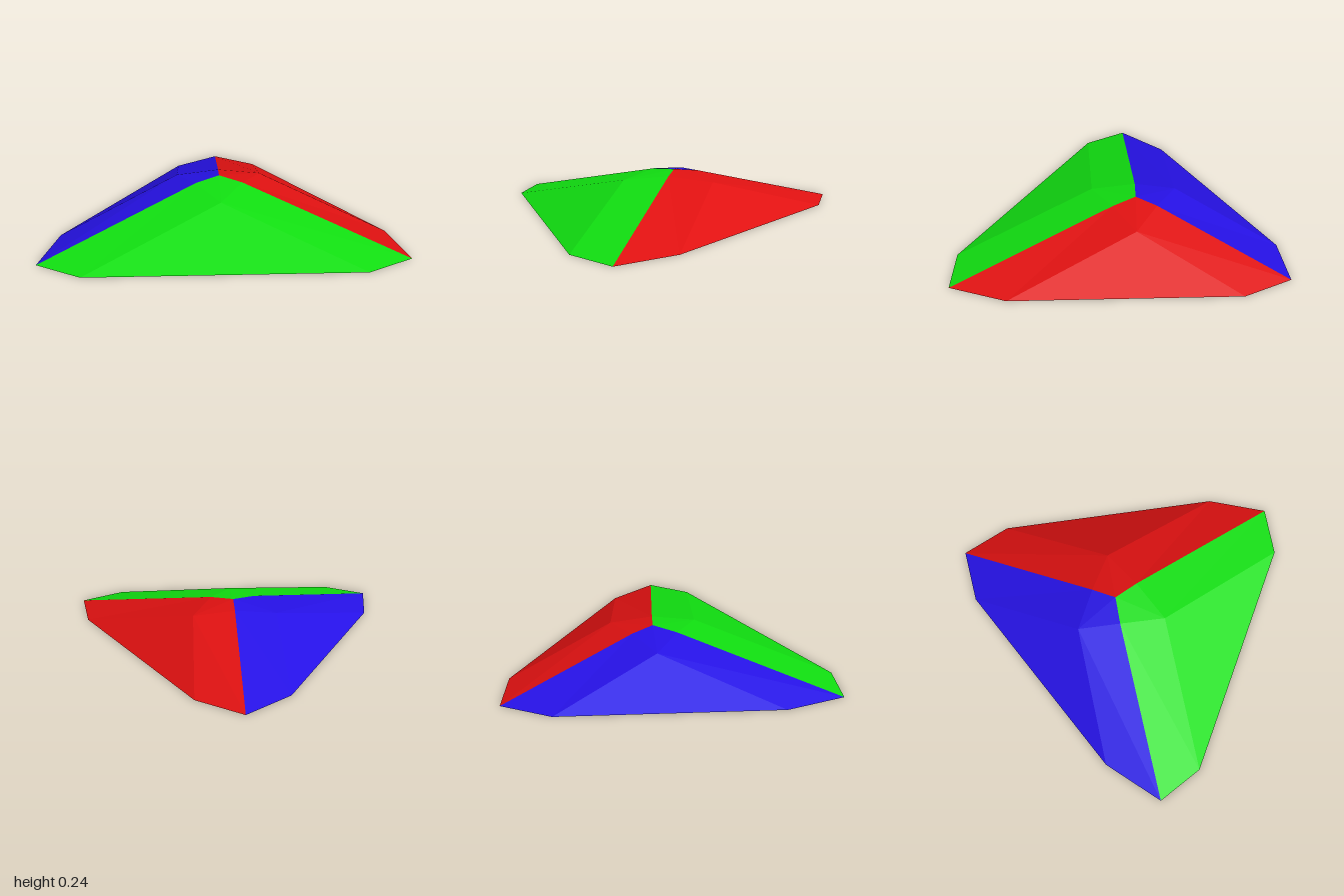
import * as THREE from 'three';

// Builds an upward-facing faceted surface from quads and triangles
function facetGeometry(faces) {
  const pos = [];
  for (const f of faces)
    for (let i = 1; i < f.length - 1; i++) pos.push(...f[0], ...f[i], ...f[i + 1]);
  const g = new THREE.BufferGeometry();
  g.setAttribute('position', new THREE.Float32BufferAttribute(pos, 3));
  g.computeVertexNormals();
  return g;
}

export function createModel() {
  const model = new THREE.Group();
  model.name = 'facetedShell';

  // Ridges run from the shared peak over a shoulder down to a corner tip
  const peak = [-0.01, 0.24, 0.11];
  const right = { shoulder: [-0.15, 0.225, 0.195], tip: [-1, 0, 0.78] };
  const left = { shoulder: [0.125, 0.225, 0.195], tip: [1, 0, 0.78] };
  const back = { shoulder: [-0.01, 0.222, -0.04], tip: [0, 0, -0.93] };

  // Each panel spans two ridges, with a raised inner point and two rim corners
  const panels = [
    { name: 'frontPanel', colour: 'green', hex: 0x11e011, a: right, b: left,
      inner: [-0.01, 0.195, 0.43], rimA: [-0.75, 0, 0.93], rimB: [0.74, 0, 0.93] },
    { name: 'leftPanel', colour: 'red', hex: 0xe01111, a: left, b: back,
      inner: [0.245, 0.195, -0.04], rimA: [0.935, 0, 0.42], rimB: [0.26, 0, -0.75] },
    { name: 'rightPanel', colour: 'blue', hex: 0x2611e6, a: back, b: right,
      inner: [-0.265, 0.195, -0.03], rimA: [-0.265, 0, -0.735], rimB: [-0.925, 0, 0.41] },
  ];

  for (const { name, colour, hex, a, b, inner, rimA, rimB } of panels) {
    const material = new THREE.MeshStandardMaterial({ color: hex, side: THREE.DoubleSide });
    material.name = colour;
    const mesh = new THREE.Mesh(facetGeometry([
      [peak, a.shoulder, inner, b.shoulder], // cap facet
      [a.shoulder, a.tip, rimA, inner],      // facet beside the first ridge
      [inner, rimA, rimB],                   // sloping outer facet
      [inner, rimB, b.tip, b.shoulder],      // facet beside the second ridge
    ]), material);
    mesh.name = name;
    model.add(mesh);
  }
  return model;
}
